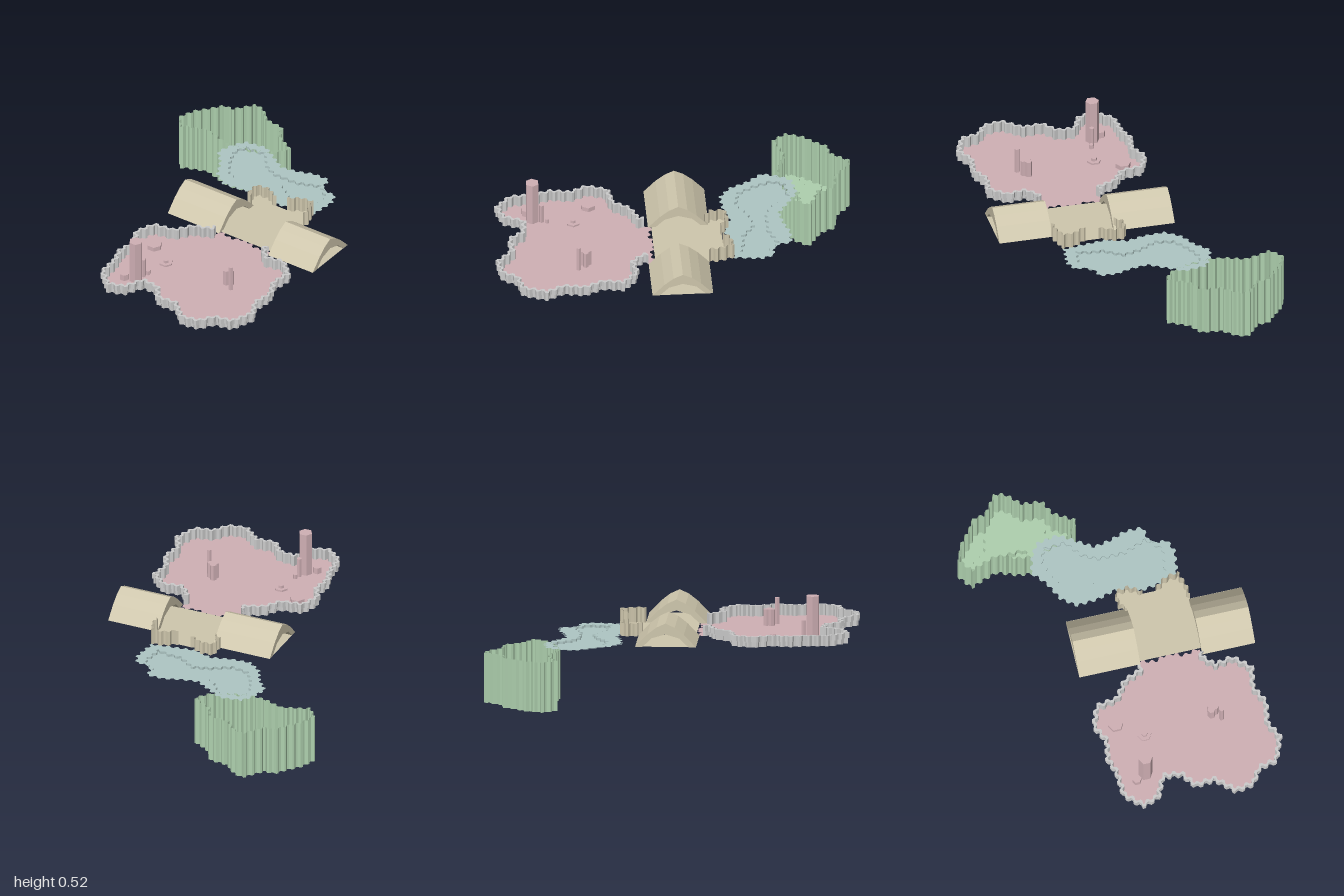
import * as THREE from 'three';

const BASE = 0.275;
const paint = (color) => new THREE.MeshStandardMaterial({ color, side: THREE.DoubleSide, flatShading: true });

// Resample a plan outline [x, z] into a stepped, hex-tile edge with outward normals
function hexEdge(points, closed, amp = 0.015, step = 0.0125) {
  const path = new THREE.CurvePath();
  const v = points.map(([x, z]) => new THREE.Vector2(x, z));
  const area = THREE.ShapeUtils.area(v);
  if (closed) v.push(v[0].clone());
  for (let i = 1; i < v.length; i++) path.add(new THREE.LineCurve(v[i - 1], v[i]));
  const n = Math.round(path.getLength() / step / 4) * 4;
  const raw = Array.from({ length: closed ? n : n + 1 }, (_, i) => path.getPoint(i / n));
  return raw.map((p, i) => {
    const a = raw[closed ? (i + n - 1) % n : Math.max(i - 1, 0)];
    const b = raw[closed ? (i + 1) % n : Math.min(i + 1, n)];
    const t = b.clone().sub(a).normalize().multiplyScalar(Math.sign(area));
    const off = i % 4 < 2 ? amp / 2 : -amp / 2;
    return { x: p.x + t.y * off, z: p.y - t.x * off, nx: t.y, nz: -t.x };
  });
}

// Sweep a wall section of [outward offset, height] along an edge
function wall(name, edge, section, closed, material) {
  const pos = [], index = [], m = section.length;
  for (const p of edge) for (const [o, y] of section) pos.push(p.x + p.nx * o, y, p.z + p.nz * o);
  const last = closed ? edge.length : edge.length - 1;
  for (let i = 0; i < last; i++) {
    const j = (i + 1) % edge.length;
    for (let k = 0; k < m - 1; k++) {
      const a = i * m + k, b = j * m + k;
      index.push(a, a + 1, b, b, a + 1, b + 1);
    }
  }
  const g = new THREE.BufferGeometry();
  g.setAttribute('position', new THREE.Float32BufferAttribute(pos, 3));
  g.setIndex(index);
  g.computeVertexNormals();
  const mesh = new THREE.Mesh(g, material);
  mesh.name = name;
  return mesh;
}

// Flat floor inside an edge, optionally with a pit cut out
function floor(name, edge, y, material, hole) {
  const loop = (e) => e.map((p) => new THREE.Vector2(p.x, -p.z));
  const shape = new THREE.Shape(loop(edge));
  if (hole) shape.holes.push(new THREE.Path(loop(hole)));
  const mesh = new THREE.Mesh(new THREE.ShapeGeometry(shape).rotateX(-Math.PI / 2), material);
  mesh.name = name;
  mesh.position.y = y;
  return mesh;
}

// Six-sided pillar standing on the cave floor
function pillar(name, x, z, r, top, material) {
  const mesh = new THREE.Mesh(new THREE.CylinderGeometry(r, r, top - BASE, 6), material);
  mesh.name = name;
  mesh.position.set(x, (top + BASE) / 2, z);
  return mesh;
}

function createCave() {
  const g = new THREE.Group(), pink = paint(0xd0b0b5), grey = paint(0xcccccc);
  g.name = 'cave';
  const rim = [[-0.17, 0.085], [-0.2, 0.08], [-0.24, -0.02], [-0.33, -0.08], [-0.35, -0.2], [-0.46, -0.24],
    [-0.55, -0.19], [-0.66, -0.21], [-0.74, -0.18], [-0.88, -0.17], [-0.96, -0.08], [-0.93, 0.01],
    [-0.82, 0.06], [-0.83, 0.16], [-0.91, 0.22], [-0.9, 0.33], [-0.99, 0.43], [-0.97, 0.53], [-0.89, 0.58],
    [-0.87, 0.68], [-0.74, 0.73], [-0.65, 0.68], [-0.53, 0.7], [-0.43, 0.65], [-0.32, 0.67], [-0.24, 0.58],
    [-0.26, 0.48], [-0.2, 0.42], [-0.17, 0.42]];
  const edge = hexEdge(rim, false);
  const mouth = hexEdge([[-0.13, 0.42], [-0.15, 0.33], [-0.12, 0.25], [-0.15, 0.17], [-0.13, 0.09]], false);
  g.add(floor('caveFloor', [...edge, ...mouth], BASE, pink));
  // rim overhangs outward above a narrower foot
  g.add(wall('caveWall', edge, [[-0.008, BASE], [-0.008, 0.335], [0.008, 0.335], [0.008, 0.305],
    [0, 0.305], [0, BASE]], false, grey));
  // x, z, radius, top
  const pillars = [[-0.77, -0.025, 0.038, 0.525], [-0.72, -0.01, 0.014, 0.385], [-0.8, -0.08, 0.025, 0.31],
    [-0.55, 0.45, 0.014, 0.42], [-0.52, 0.4, 0.022, 0.365], [-0.495, 0.4, 0.02, 0.365], [-0.51, 0.425, 0.016, 0.365],
    [-0.55, 0.02, 0.038, 0.285], [-0.55, 0.02, 0.016, 0.3], [-0.46, -0.12, 0.042, 0.3], [-0.69, 0, 0.013, 0.3]];
  for (const [x, z, r, top] of pillars) g.add(pillar('cavePillar', x, z, r, top, pink));
  return g;
}

function createHall() {
  const g = new THREE.Group(), tan = paint(0xcfc7ad);
  g.name = 'hall';
  // two open-ended vaults
  const outer = [[-0.165, 0], [-0.1, 0.068], [-0.05, 0.107], [0, 0.13], [0.05, 0.107], [0.1, 0.068], [0.165, 0]];
  const inner = [[0.125, 0], [0.075, 0.048], [0, 0.07], [-0.075, 0.048], [-0.125, 0]];
  const arch = new THREE.Shape([...outer, ...inner].map(([x, y]) => new THREE.Vector2(x, y)));
  for (const [name, x, z0, z1] of [['backVault', 0.017, -0.25, 0.09], ['frontVault', -0.003, 0.43, 0.725]]) {
    const geo = new THREE.ExtrudeGeometry(arch, { depth: z1 - z0, bevelEnabled: false });
    const vault = new THREE.Mesh(geo, tan);
    vault.name = name;
    vault.position.set(x, BASE, z0);
    g.add(vault);
    const base = new THREE.Mesh(new THREE.PlaneGeometry(0.33, z1 - z0).rotateX(-Math.PI / 2), tan);
    base.name = name + 'Floor';
    base.position.set(x, BASE + 0.001, (z0 + z1) / 2);
    g.add(base);
  }
  // crossing floor with short stepped walls beside its exit
  const back = hexEdge([[0.165, 0.09], [0.19, 0.05], [0.27, 0.045], [0.28, 0.12], [0.24, 0.19]], false);
  const front = hexEdge([[0.24, 0.27], [0.285, 0.33], [0.295, 0.4], [0.21, 0.43], [0.16, 0.43]], false);
  const start = [{ x: -0.13, z: 0.43 }, { x: -0.13, z: 0.09 }];
  g.add(floor('hallFloor', [...start, ...back, ...front], BASE + 0.002, tan));
  g.add(wall('backExitWall', back, [[0, BASE], [0, 0.345]], false, tan));
  g.add(wall('frontExitWall', front, [[0, BASE], [0, 0.362]], false, tan));
  return g;
}

function createStream() {
  const g = new THREE.Group(), blue = paint(0xaec6c4);
  g.name = 'stream';
  const bank = hexEdge([[0.3, 0.4], [0.45, 0.42], [0.52, 0.39], [0.51, 0.3], [0.62, 0.28], [0.62, 0.18],
    [0.59, 0.1], [0.57, 0], [0.62, -0.08], [0.68, -0.18], [0.66, -0.3], [0.6, -0.34], [0.5, -0.37],
    [0.42, -0.3], [0.32, -0.25], [0.26, -0.17], [0.27, -0.05], [0.3, 0.05], [0.26, 0.15], [0.28, 0.28]], true);
  const bed = hexEdge([[0.34, 0.34], [0.47, 0.36], [0.55, 0.28], [0.5, 0.15], [0.5, 0], [0.54, -0.08],
    [0.63, -0.15], [0.62, -0.27], [0.55, -0.3], [0.45, -0.26], [0.36, -0.2], [0.34, -0.1], [0.4, 0],
    [0.43, 0.1], [0.36, 0.2], [0.36, 0.27]], true);
  g.add(floor('streamBank', bank, BASE - 0.001, blue, bed));
  g.add(floor('streamBed', bed, 0.26, blue));
  g.add(wall('streamStep', bed, [[0, 0.26], [0, BASE - 0.001]], true, blue));
  return g;
}

function createPit() {
  const g = new THREE.Group(), green = paint(0xaed0ae);
  g.name = 'pit';
  const rim = hexEdge([[0.61, -0.62], [0.585, -0.68], [0.66, -0.735], [0.75, -0.7], [0.82, -0.64], [0.88, -0.6],
    [0.88, -0.54], [0.99, -0.46], [0.97, -0.4], [0.9, -0.33], [0.89, -0.22], [0.81, -0.18], [0.74, -0.06],
    [0.66, -0.12], [0.62, -0.22], [0.59, -0.33], [0.6, -0.42], [0.64, -0.53]], true);
  const terrace = hexEdge([[0.63, -0.64], [0.7, -0.66], [0.76, -0.57], [0.85, -0.55], [0.8, -0.47],
    [0.8, -0.22], [0.65, -0.22], [0.65, -0.33], [0.72, -0.36], [0.71, -0.5]], true);
  g.add(floor('pitFloor', rim, 0, green, terrace));
  g.add(wall('pitWall', rim, [[0, 0], [0, BASE]], true, green));
  g.add(floor('pitTerrace', terrace, 0.05, green));
  g.add(wall('terraceStep', terrace, [[0, 0], [0, 0.05]], true, green));
  return g;
}

export function createModel() {
  const model = new THREE.Group();
  model.name = 'caveMap';
  model.add(createCave(), createHall(), createStream(), createPit());
  return model;
}
